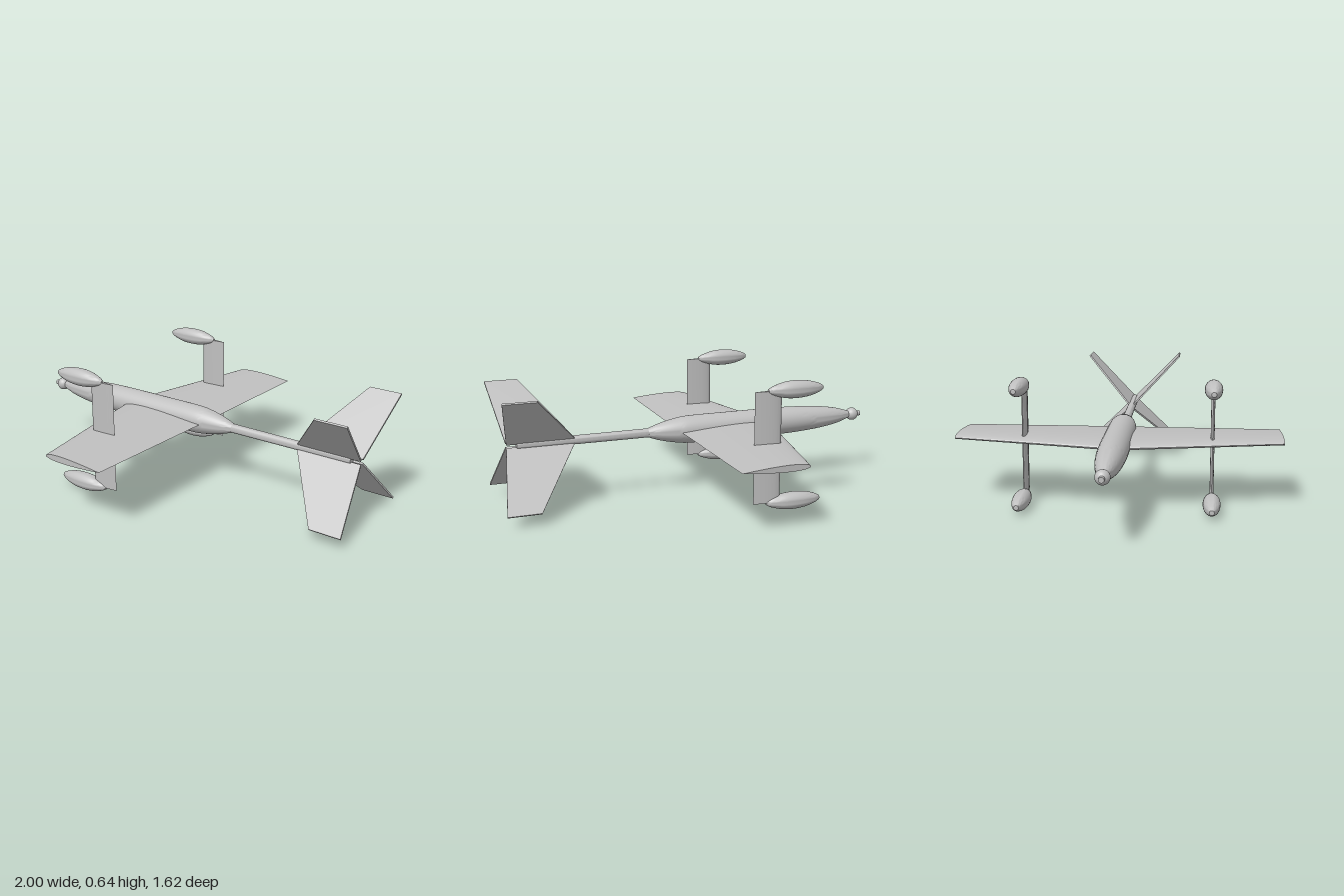
import * as THREE from 'three';
import { toCreasedNormals } from 'three/addons/utils/BufferGeometryUtils.js';

const AXIS_Y = 0.326;   // height of the body axis
const HALF_SPAN = 0.81;

export function createModel() {
  const model = new THREE.Group();
  model.name = 'aircraft';
  const grey = new THREE.MeshStandardMaterial({ color: 0xc0c0c0 });
  grey.name = 'grey';

  const add = (name, geometry, x = 0, y = 0, z = 0) => {
    const mesh = new THREE.Mesh(geometry, grey);
    mesh.name = name;
    mesh.position.set(x, y, z);
    model.add(mesh);
    return mesh;
  };

  // Body of revolution along x from [x, radius] pairs
  const turned = (profile, segments = 40) => {
    const points = profile.map(([x, r]) => new THREE.Vector2(r, x));
    const geometry = new THREE.LatheGeometry(points, segments);
    geometry.rotateZ(-Math.PI / 2);
    return toCreasedNormals(geometry, 0.6);
  };

  // Smooth [x, radius] profile through a few points
  const smooth = (points, n) => new THREE.SplineCurve(points.map(p => new THREE.Vector2(...p)))
    .getPoints(n).map(p => [p.x, p.y]);

  // Unit airfoil: x 0..1 from leading to trailing edge, y -0.5..0.5, extruded along z
  const airfoil = (depth, steps) => {
    const n = 16;
    const half = s => {
      const x = s * s;
      return [x, 0.5 * Math.max(0, 2.969 * Math.sqrt(x) - 1.26 * x - 3.516 * x * x + 2.843 * x ** 3 - 1.036 * x ** 4)];
    };
    const points = [];
    for (let i = n; i >= 0; i--) points.push(new THREE.Vector2(...half(i / n)));
    for (let i = 1; i < n; i++) {
      const [x, y] = half(i / n);
      points.push(new THREE.Vector2(x, -y));
    }
    const geometry = new THREE.ExtrudeGeometry(new THREE.Shape(points), { depth, steps, bevelEnabled: false });
    return geometry.translate(0, 0, -depth / 2);
  };

  // Fuselage, closed at the nose and blending into the tail boom
  const hull = smooth([[-0.925, 0.02], [-0.85, 0.042], [-0.75, 0.058], [-0.62, 0.068], [-0.48, 0.072],
    [-0.2, 0.072], [0.0, 0.071], [0.08, 0.063], [0.16, 0.046], [0.23, 0.023]], 50);
  add('fuselage', turned([[-0.925, 0], ...hull, [0.23, 0]]), 0, AXIS_Y);
  add('tailBoom', turned([[0.2, 0], [0.2, 0.023], [0.9, 0.022], [0.9, 0]], 28), 0, AXIS_Y);

  // Nose ball with a small tip
  add('noseBall', new THREE.SphereGeometry(0.034, 28, 18), -0.952, AXIS_Y);
  add('noseTip', turned([[-1, 0], [-1, 0.013], [-0.96, 0.016]], 20), 0, AXIS_Y);

  // Tapered wing: swept leading edge, straight trailing edge
  const wing = airfoil(2 * HALF_SPAN, 2);
  const pos = wing.attributes.position;
  for (let i = 0; i < pos.count; i++) {
    const t = Math.abs(pos.getZ(i)) / HALF_SPAN;
    const lead = THREE.MathUtils.lerp(-0.445, -0.275, t);
    const trail = THREE.MathUtils.lerp(0.067, 0.06, t);
    pos.setX(i, lead + pos.getX(i) * (trail - lead));
    pos.setY(i, pos.getY(i) * THREE.MathUtils.lerp(0.046, 0.032, t));
  }
  add('wing', toCreasedNormals(wing, 0.6), 0, AXIS_Y);

  // Pylons through the wing, each with a pod above and below
  const podProfile = smooth([[-0.508, 0.012], [-0.48, 0.025], [-0.43, 0.038], [-0.37, 0.043],
    [-0.31, 0.039], [-0.25, 0.023], [-0.222, 0.009]], 28);
  const podGeometry = turned([[-0.51, 0], ...podProfile, [-0.22, 0]], 28);
  const pylonGeometry = airfoil(0.557, 1);
  pylonGeometry.scale(0.14, 0.019, 1).rotateX(Math.PI / 2);
  const pylonSmooth = toCreasedNormals(pylonGeometry, 0.6);
  for (const z of [-0.4625, 0.4625]) {
    add('pylon', pylonSmooth, -0.293, 0.3235, z);
    add('upperPod', podGeometry, 0, 0.602, z);
    add('lowerPod', podGeometry, 0, 0.043, z);
  }

  // Four thin tail fins in an X
  const finShape = new THREE.Shape([[0.61, 0.014], [0.95, 0.014], [1, 0.38], [0.837, 0.38]]
    .map(p => new THREE.Vector2(...p)));
  const finGeometry = new THREE.ExtrudeGeometry(finShape, { depth: 0.009, bevelEnabled: false });
  finGeometry.translate(0, 0, -0.0045);
  for (let i = 0; i < 4; i++) {
    add('tailFin', finGeometry, 0, AXIS_Y).rotation.x = Math.PI / 4 + i * Math.PI / 2;
  }
  return model;
}
